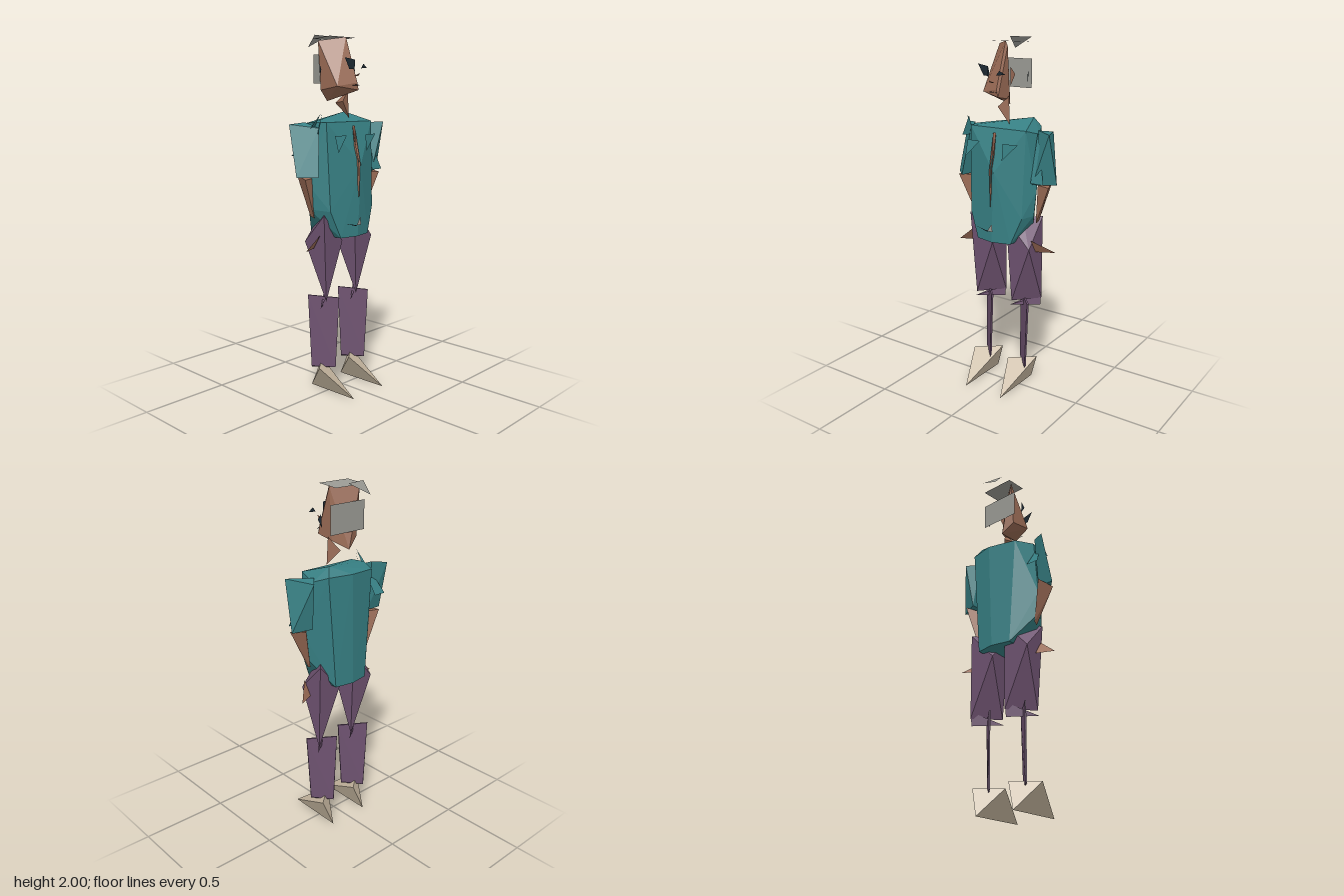
import * as THREE from 'three';
import { ConvexGeometry } from 'three/addons/geometries/ConvexGeometry.js';

function material(name, color) {
  const m = new THREE.MeshStandardMaterial({ color });
  m.name = name;
  m.flatShading = true;
  m.side = THREE.DoubleSide;
  return m;
}

export function createModel() {
  const teal = material('teal shirt', 0x378084);
  const purple = material('purple trousers', 0x6e5270);
  const skin = material('skin', 0x9a6b55);
  const tan = material('tan shoes', 0xc4b59e);
  const grey = material('grey hair', 0x9a9a94);
  const dark = material('dark detail', 0x1e2a33);
  const model = new THREE.Group();
  model.name = 'figure';

  function add(name, geometry, mat, dx = 0) {
    const mesh = new THREE.Mesh(geometry, mat);
    mesh.name = name;
    mesh.position.x = dx;
    model.add(mesh);
  }
  // Faceted solid through its corner points
  function solid(name, mat, pts, dx) {
    add(name, new ConvexGeometry(pts.map(p => new THREE.Vector3(...p))), mat, dx);
  }
  // Thin open sheet: a fan through its outline
  function sheet(name, mat, pts, dx) {
    const g = new THREE.BufferGeometry();
    const out = [];
    for (let i = 1; i < pts.length - 1; i++) out.push(...pts[0], ...pts[i], ...pts[i + 1]);
    g.setAttribute('position', new THREE.Float32BufferAttribute(out, 3));
    g.computeVertexNormals();
    add(name, g, mat, dx);
  }

  // Torso
  solid('torso', teal, [
    [-0.11, 0.9, 0.09], [0, 0.9, 0.115], [0.11, 0.9, 0.09],
    [0.11, 0.9, -0.14], [0, 0.9, -0.16], [-0.11, 0.9, -0.14],
    [-0.225, 1.06, -0.04], [-0.17, 1.05, 0.07], [0.17, 1.05, 0.07], [0.205, 1.06, 0],
    [-0.235, 1.2, -0.04], [0.22, 1.2, 0], [0.02, 1.3, 0.12],
    [-0.2, 1.53, -0.03], [-0.18, 1.53, 0.05], [0.18, 1.53, 0.05], [0.2, 1.5, -0.06],
    [0.13, 1.58, -0.11], [-0.15, 1.52, -0.14], [0.02, 1.53, -0.17], [0.16, 1.53, -0.14],
  ]);
  sheet('neckOpening', skin, [[0, 1.1, 0.124], [0.008, 1.31, 0.125], [0.01, 1.51, 0.08], [-0.008, 1.51, 0.08], [-0.005, 1.31, 0.125]]);
  sheet('rightPocket', teal, [[-0.165, 1.46, 0.1], [-0.165, 1.37, 0.125], [-0.08, 1.46, 0.105]]);
  sheet('leftPocket', teal, [[0.07, 1.46, 0.105], [0.07, 1.37, 0.115], [0.16, 1.46, 0.1]]);
  sheet('buckle', grey, [[-0.02, 0.965, 0.125], [0.015, 0.965, 0.125], [0.01, 1.01, 0.125]]);
  sheet('beltLine', dark, [[-0.11, 0.985, 0.12], [-0.02, 0.96, 0.124], [-0.02, 0.966, 0.124]]);

  // Sleeves
  solid('leftSleeve', teal, [
    [0.19, 1.52, -0.06], [0.245, 1.51, -0.125], [0.31, 1.52, 0.03],
    [0.325, 1.24, -0.035], [0.21, 1.24, 0.03], [0.22, 1.25, -0.08],
  ]);
  sheet('leftSleeveLining', teal, [[0.205, 1.52, -0.03], [0.285, 1.25, 0.04], [0.205, 1.25, 0.04]]);
  solid('rightSleeve', teal, [
    [-0.31, 1.52, -0.1], [-0.23, 1.53, -0.06], [-0.205, 1.5, 0.02],
    [-0.325, 1.24, -0.03], [-0.245, 1.24, 0.055], [-0.23, 1.24, -0.03],
  ]);
  sheet('rightSleeveLining', teal, [[-0.21, 1.58, 0.04], [-0.285, 1.35, -0.11], [-0.21, 1.35, -0.11]]);
  sheet('rightShoulderPoint', teal, [[-0.2, 1.58, 0.04], [-0.24, 1.47, 0.05], [-0.2, 1.47, 0]]);

  // Forearms and hands
  for (const s of [-1, 1]) {
    const side = s > 0 ? 'left' : 'right';
    solid(side + 'Forearm', skin, [
      [s * 0.3, 1.23, 0.01], [s * 0.27, 1.25, -0.085], [s * 0.215, 1.23, -0.02],
      [s * 0.205, 1.01, -0.02], [s * 0.21, 1.02, -0.045],
    ]);
    const tipZ = s > 0 ? -0.08 : 0.01;
    sheet(side + 'Hand', skin, [[s * 0.3, 0.84, tipZ], [s * 0.2, 0.92, 0.02], [s * 0.2, 0.84, -0.03]]);
  }

  // Legs: both share the same slanted shapes, moved sideways
  for (const dx of [0, -0.245]) {
    const side = dx === 0 ? 'left' : 'right';
    solid(side + 'Thigh', purple, [
      [0.05, 1.03, 0.045], [0.195, 1.03, -0.11], [0.12, 1.03, -0.02],
      [0.045, 0.87, -0.1], [0.2, 0.87, 0.04],
      [0.08, 0.54, 0.03], [0.2, 0.54, -0.1],
    ], dx);
    solid(side + 'Shin', purple, [
      [0.06, 0.56, -0.095], [0.065, 0.56, -0.1], [0.185, 0.54, 0.03], [0.19, 0.54, 0.02],
      [0.07, 0.14, -0.08], [0.078, 0.13, -0.085], [0.165, 0.13, 0.02], [0.17, 0.14, 0.012],
    ], dx);
    sheet(side + 'KneeFold', purple, [[0.055, 0.5, 0.01], [0.2, 0.5, -0.09], [0.2, 0.58, -0.1], [0.13, 0.53, -0.03]], dx);
    solid(side + 'Shoe', tan, [
      [0.12, 0.005, 0.205], [0.12, 0, -0.13], [0.042, 0.155, 0.01], [0.175, 0.155, -0.1],
    ], dx);
  }

  // Neck and head
  solid('neck', skin, [[0.04, 1.7, 0], [-0.02, 1.64, 0.02], [0, 1.63, -0.055], [0.045, 1.55, 0.005]]);
  solid('head', skin, [
    [-0.09, 1.965, -0.1], [0.02, 1.985, 0.005], [0.03, 1.96, 0],
    [-0.095, 1.72, 0.05], [0.03, 1.7, 0.09], [0.02, 1.74, 0.09],
    [-0.09, 1.7, -0.08], [-0.02, 1.64, -0.1], [0.03, 1.68, -0.02],
  ]);

  // Face details
  sheet('eye', dark, [[-0.09, 1.87, 0.1], [-0.055, 1.81, 0.1], [-0.02, 1.81, 0.107], [-0.02, 1.86, 0.107]]);
  sheet('leftEye', dark, [[0.03, 1.815, 0.107], [0.085, 1.82, 0.1], [0.05, 1.84, 0.107]]);
  sheet('nose', skin, [[-0.015, 1.775, 0.1], [0.015, 1.775, 0.1], [0, 1.79, 0.13]]);
  sheet('mouth', dark, [[-0.03, 1.725, 0.1], [0.03, 1.725, 0.1], [0, 1.731, 0.11]]);
  sheet('ear', skin, [[0.035, 1.85, -0.02], [0.045, 1.81, -0.05], [0.035, 1.75, -0.02]]);
  for (const s of [-1, 1]) {
    sheet(s > 0 ? 'leftEarRim' : 'rightEarRim', dark, [[s * 0.13, 1.84, -0.05], [s * 0.135, 1.81, -0.03], [s * 0.125, 1.77, -0.05]]);
  }

  // Hair
  sheet('backHair', grey, [[-0.12, 1.735, -0.105], [0.115, 1.735, -0.105], [0.115, 1.89, -0.105], [-0.12, 1.89, -0.105]]);
  sheet('topHair', grey, [[-0.1, 1.985, 0], [0.1, 1.985, 0], [0.1, 1.975, -0.128], [-0.1, 1.975, -0.128]]);
  sheet('hairTuft', grey, [[-0.06, 1.935, -0.208], [-0.06, 2, -0.155], [0.065, 2, -0.18]]);

  return model;
}
